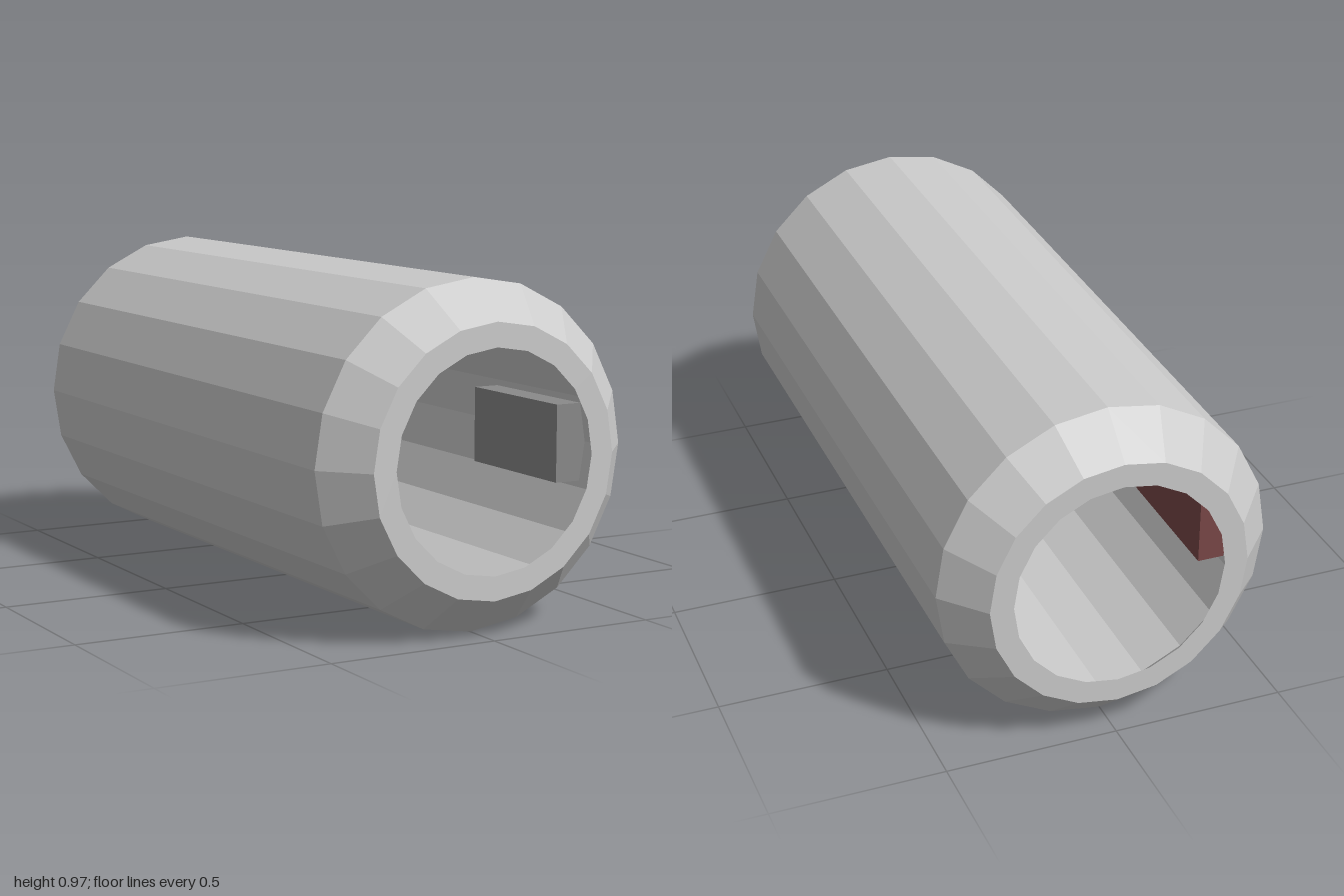
import * as THREE from 'three';

const CENTER_Y = 0.485;

export function createModel() {
  const group = new THREE.Group();
  const grey = new THREE.MeshStandardMaterial({ color: 0xcccccc, flatShading: true });

  // Hollow 20-sided hull: bevelled outside, then back along the inside
  const profile = [
    [0.307, -1], [0.375, -1], [0.483, -0.88], [0.483, 0.88], [0.375, 1],
    [0.307, 1], [0.415, 0.88], [0.415, -0.88], [0.307, -1],
  ].map(([r, y]) => new THREE.Vector2(r, y));
  const hull = new THREE.Mesh(new THREE.LatheGeometry(profile, 20), grey);
  hull.name = 'hull';
  hull.rotation.x = Math.PI / 2;
  hull.position.y = CENTER_Y;
  group.add(hull);

  // Storage boxes set into the side walls, one near each end of each side
  const addBox = (name, color, sideX, sideZ) => {
    const box = new THREE.Mesh(
      new THREE.BoxGeometry(0.135, 0.22, 0.42),
      new THREE.MeshStandardMaterial({ color })
    );
    box.name = name;
    box.position.set(sideX * 0.3875, CENTER_Y, sideZ * 0.605);
    group.add(box);
  };
  addBox('foodBox', 0x3c6e3c, -1, 1);
  addBox('powerBox', 0x7a4848, -1, -1);
  addBox('waterBox', 0x124e62, 1, -1);
  addBox('airBox', 0x8a8a8a, 1, 1);

  return group;
}
